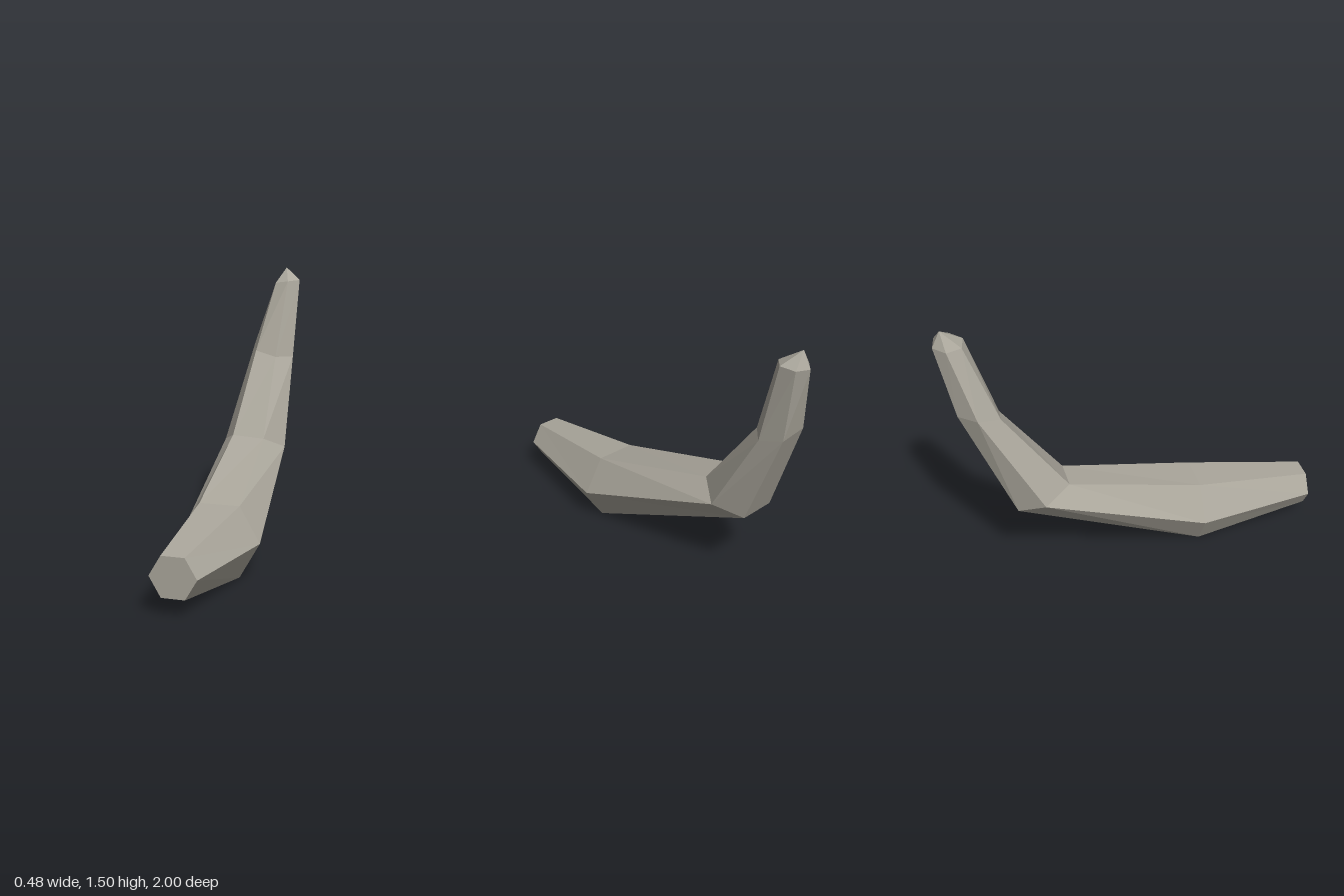
import * as THREE from 'three';

// Each hexagonal section: centre, then three neighbouring corners (right, top right, top left).
// The other three corners mirror these through the centre.
const SECTIONS = [
  { c: [0.026, 0.19, 1], k: [[0.145, 0.19, 1], [0.085, 0.29, 1], [-0.033, 0.29, 1]] },
  { c: [0.026, 0.19, 0.355], k: [[0.24, 0.19, 0.355], [0.133, 0.376, 0.355], [-0.081, 0.376, 0.355]] },
  { c: [-0.064, 0.523, -0.526], k: [[0.115, 0.511, -0.52], [0.029, 0.575, -0.388], [-0.151, 0.586, -0.388]] },
  { c: [-0.038, 1.03, -0.81], k: [[0.084, 0.997, -0.79], [0.004, 1.0, -0.702], [-0.118, 1.032, -0.712]] },
  { c: [0.013, 1.426, -0.92], k: [[0.09, 1.436, -0.902], [0.035, 1.43, -0.843], [-0.043, 1.42, -0.86]] },
];
const TIP = [-0.004, 1.506, -0.955];

function ring({ c, k }) {
  return [...k, ...k.map((p) => p.map((v, i) => 2 * c[i] - v))];
}

function facetMesh(name, triangles, material) {
  const geometry = new THREE.BufferGeometry();
  geometry.setAttribute('position', new THREE.Float32BufferAttribute(triangles.flat(2), 3));
  geometry.computeVertexNormals();
  const mesh = new THREE.Mesh(geometry, material);
  mesh.name = name;
  return mesh;
}

export function createModel() {
  const group = new THREE.Group();
  group.name = 'curvedHorn';
  const horn = new THREE.MeshStandardMaterial({ color: 0xaba79c, flatShading: true });
  horn.name = 'horn grey';

  const rings = SECTIONS.map(ring);
  const last = rings[rings.length - 1];
  const base = [], shaft = [], point = [];

  for (let i = 0; i < 6; i++) {
    const j = (i + 1) % 6;
    // flat root end
    base.push([SECTIONS[0].c, rings[0][i], rings[0][j]]);
    // side facets between neighbouring sections
    for (let s = 0; s < rings.length - 1; s++) {
      const a = rings[s], b = rings[s + 1];
      shaft.push([a[i], b[i], a[j]], [a[j], b[i], b[j]]);
    }
    // pointed end
    point.push([last[i], TIP, last[j]]);
  }

  group.add(
    facetMesh('rootCap', base, horn),
    facetMesh('hornShaft', shaft, horn),
    facetMesh('hornTip', point, horn),
  );
  return group;
}
